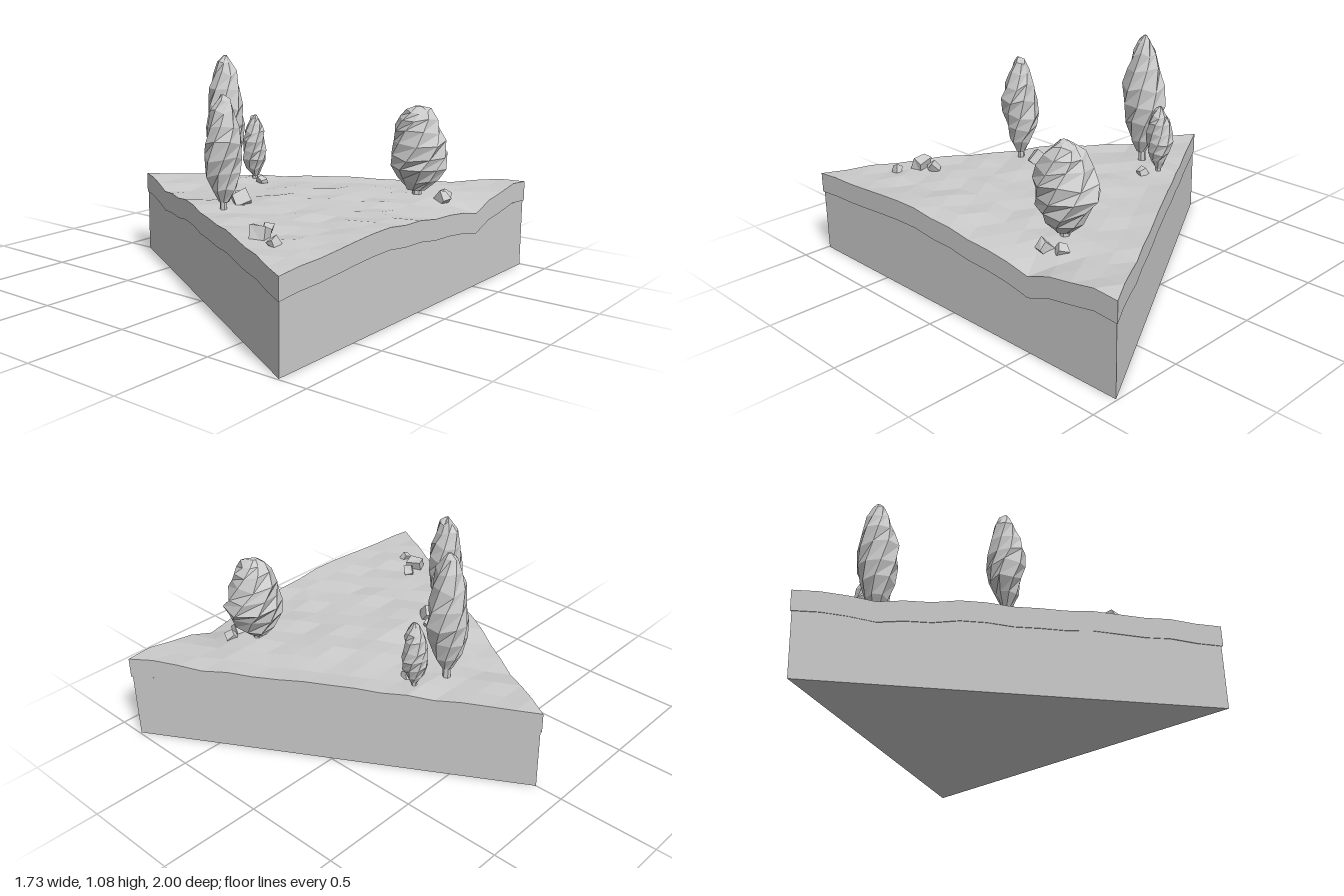
import * as THREE from 'three';

const N = 16;            // ground cells per side
const R = 0.866;         // half width of the triangle in x
const INSET = 0.993;     // base is slightly smaller than the crust
const CENTRE = R / 3;    // centroid of the triangle in x

const material = new THREE.MeshStandardMaterial({ color: 0xcccccc, flatShading: true });

const hash = (a, b = 0, c = 0) => {
  const s = Math.sin(a * 127.1 + b * 311.7 + c * 74.7) * 43758.5453;
  return s - Math.floor(s);
};

// Soft hills and hollows: x, z, height, radius
const bumps = [
  [-0.5, 0.2, -0.028, 0.25], [0.866, -0.5, -0.055, 0.14], [0.866, -0.15, -0.025, 0.2],
  [0.866, 0.25, 0.022, 0.22], [0.866, -1, 0.022, 0.2], [0.866, 1, -0.015, 0.15],
  [0.2, 0.1, 0.012, 0.3],
];

function groundHeight(x, z) {
  let y = 0.426 + (hash(Math.round(x * 100), Math.round(z * 100)) - 0.5) * 0.018;
  for (const [bx, bz, h, r] of bumps) y += h * Math.exp(-((x - bx) ** 2 + (z - bz) ** 2) / (r * r));
  return y;
}

function makeMesh(name, geometry) {
  const mesh = new THREE.Mesh(geometry, material);
  mesh.name = name;
  return mesh;
}

function facets(points) {
  const g = new THREE.BufferGeometry().setFromPoints(points);
  g.computeVertexNormals();
  return g;
}

const quad = (out, a, b, c, d) => out.push(a, b, c, a, c, d);

// Ground crust: faceted top, skirt following it and a narrow lip underneath
function makeCrust() {
  const p = (i, j) => {
    const x = -R + (2 * R * i) / N, z = (2 * j - i) / N;
    return new THREE.Vector3(x, groundHeight(x, z), z);
  };
  const out = [];
  for (let i = 0; i < N; i++) {
    for (let j = 0; j <= i; j++) {
      out.push(p(i, j), p(i + 1, j + 1), p(i + 1, j));
      if (j < i) out.push(p(i, j), p(i, j + 1), p(i + 1, j + 1));
    }
  }
  const rim = [];
  for (let k = 0; k < N; k++) rim.push(p(k, k));
  for (let k = N; k > 0; k--) rim.push(p(N, k));
  for (let k = N; k > 0; k--) rim.push(p(k, 0));
  const low = (v) => new THREE.Vector3(v.x, v.y - 0.1, v.z);
  const inner = (v) => new THREE.Vector3(CENTRE + (v.x - CENTRE) * 0.98, v.y - 0.1, v.z * 0.98);
  rim.forEach((a, k) => {
    const b = rim[(k + 1) % rim.length];
    quad(out, low(a), low(b), b, a);
    quad(out, inner(a), inner(b), low(b), low(a));
  });
  return makeMesh('groundCrust', facets(out));
}

// Triangular block below the crust
function makeBase() {
  const shape = new THREE.Shape();
  const corner = (x, z) => [CENTRE + (x - CENTRE) * INSET, -z * INSET];
  shape.moveTo(...corner(-R, 0));
  shape.lineTo(...corner(R, 1));
  shape.lineTo(...corner(R, -1));
  shape.closePath();
  const g = new THREE.ExtrudeGeometry(shape, { depth: 0.345, bevelEnabled: false });
  g.rotateX(-Math.PI / 2);
  return makeMesh('base', g);
}

// Crown outline: height fraction, radius fraction
const crownProfile = [
  [0, 0.25], [0.12, 0.6], [0.27, 0.88], [0.42, 1], [0.57, 0.96],
  [0.72, 0.8], [0.85, 0.58], [0.95, 0.32], [1, 0.08],
];

// Twisted faceted crown made of stacked rings
function makeCrown(radius, bottom, top, fullness, seed) {
  const sides = 8;
  const rings = crownProfile.map(([t, r], k) => {
    const ring = [];
    const ox = (hash(k, seed, 1) - 0.5) * 0.1 * radius, oz = (hash(k, seed, 2) - 0.5) * 0.1 * radius;
    for (let s = 0; s < sides; s++) {
      const a = (s / sides) * Math.PI * 2 + k * 0.3 + seed;
      const rr = radius * Math.pow(r, fullness) *
        (0.96 + 0.07 * Math.cos(2 * a - k * 1.1) + (hash(k, s, seed) - 0.5) * 0.13);
      const tilt = k > 0 && k < 8 ? (hash(s, k, seed + 5) - 0.5) * 0.06 : 0;
      ring.push(new THREE.Vector3(ox + Math.cos(a) * rr, bottom + (top - bottom) * (t + tilt), oz - Math.sin(a) * rr));
    }
    return ring;
  });
  const out = [];
  for (let k = 0; k < rings.length - 1; k++) {
    for (let s = 0; s < sides; s++) {
      const n = (s + 1) % sides;
      quad(out, rings[k][s], rings[k][n], rings[k + 1][n], rings[k + 1][s]);
    }
  }
  // close both ends
  const first = rings[0], last = rings[rings.length - 1];
  for (let s = 1; s < sides - 1; s++) {
    out.push(first[0], first[s + 1], first[s]);
    out.push(last[0], last[s], last[s + 1]);
  }
  return makeMesh('crown', facets(out));
}

function makeTree(x, z, radius, bottom, top, trunkRadius, fullness, seed) {
  const tree = new THREE.Group();
  tree.name = 'tree';
  const foot = groundHeight(x, z) - 0.03;
  const height = bottom + 0.04 - foot;
  const trunk = makeMesh('trunk', new THREE.CylinderGeometry(trunkRadius * 0.9, trunkRadius, height, 6));
  trunk.position.y = foot + height / 2;
  tree.add(trunk, makeCrown(radius, bottom, top, fullness, seed));
  tree.position.set(x, 0, z);
  return tree;
}

// Chunky stone: box with shifted corners
function makeRock(x, z, size, seed) {
  const g = new THREE.BoxGeometry(1.5, 1.3, 1.7).toNonIndexed();
  const pos = g.attributes.position;
  for (let i = 0; i < pos.count; i++) {
    const c = [pos.getX(i), pos.getY(i), pos.getZ(i)];
    const id = Math.sign(c[0]) + 3 * Math.sign(c[1]) + 9 * Math.sign(c[2]);
    pos.setXYZ(i, ...c.map((v, k) => v * (0.72 + 0.5 * hash(id, k, seed))));
  }
  g.computeVertexNormals();
  const rock = makeMesh('rock', g);
  rock.scale.setScalar(size);
  rock.rotation.set(seed * 0.7, seed * 1.9, seed * 0.4);
  rock.position.set(x, groundHeight(x, z) + size * 0.45, z);
  return rock;
}

export function createModel() {
  const model = new THREE.Group();
  model.name = 'triangularLandscape';
  model.add(makeBase(), makeCrust());

  // x, z, crown radius, crown bottom, top, trunk radius, fullness
  [
    [-0.35, -0.065, 0.108, 0.475, 1.08, 0.02, 1],
    [-0.29, -0.225, 0.068, 0.445, 0.765, 0.014, 1],
    [0.055, 0.405, 0.096, 0.465, 0.96, 0.017, 1],
    [0.575, -0.43, 0.15, 0.455, 0.865, 0.024, 0.85],
  ].forEach((t, i) => model.add(makeTree(...t, i + 1)));

  // x, z, size
  [
    [-0.005, 0.215, 0.03], [0.06, 0.285, 0.043], [0.475, 0.595, 0.03], [0.495, 0.67, 0.045],
    [0.61, 0.715, 0.026], [-0.21, -0.19, 0.028], [0.71, -0.44, 0.037], [0.68, -0.515, 0.03],
  ].forEach((r, i) => model.add(makeRock(...r, i + 1)));

  return model;
}
